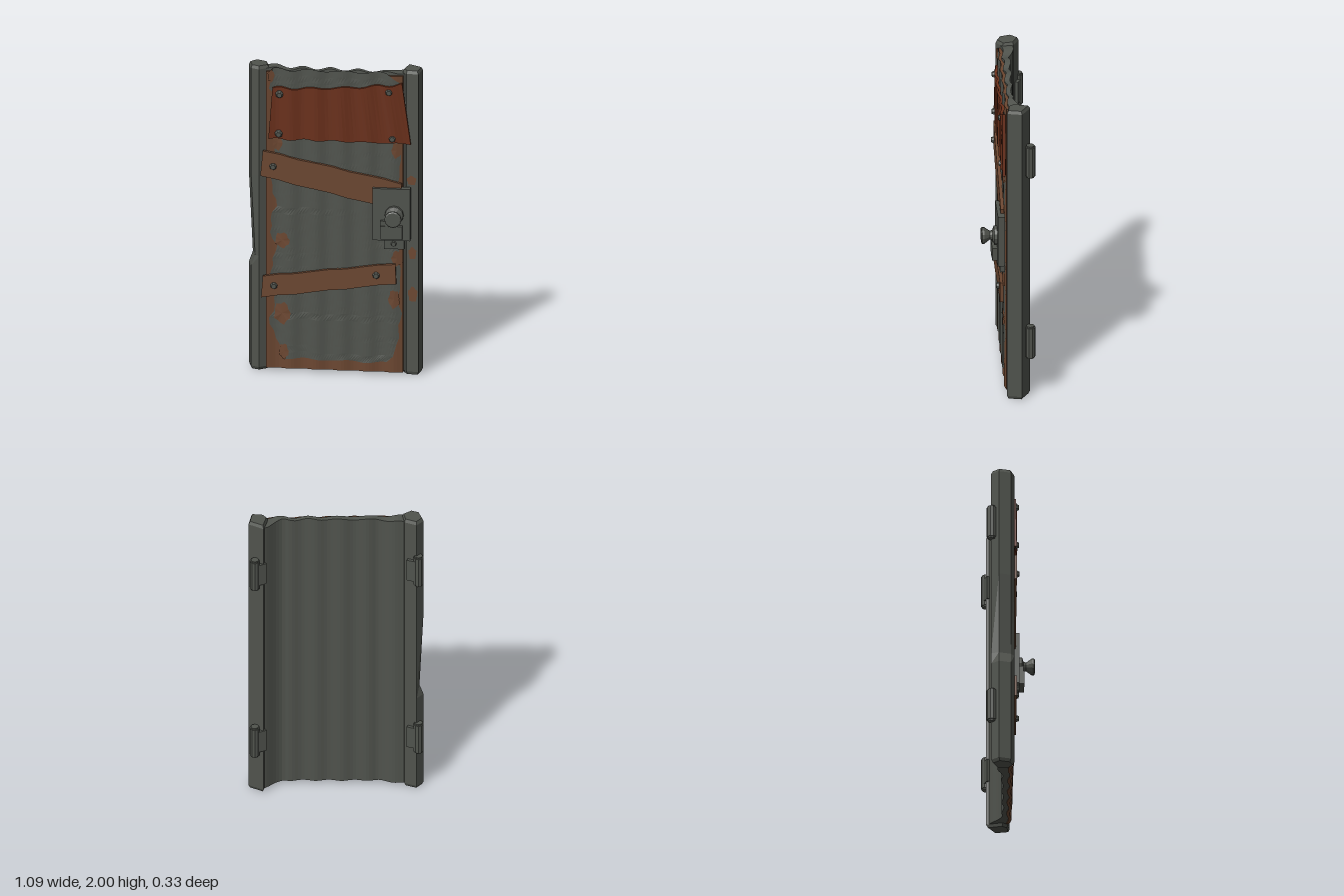
import * as THREE from 'three';

const mat = (name, color) => Object.assign(new THREE.MeshStandardMaterial({ color }), { name });

// Unindexed geometry with one normal per face
function facet(geo) {
  const g = geo.index ? geo.toNonIndexed() : geo;
  g.computeVertexNormals();
  return g;
}

// Closed solid through a series of equal-sized rings
function loft(rings) {
  const n = rings[0].length, last = (rings.length - 1) * n, idx = [];
  for (let r = 0; r < rings.length - 1; r++) {
    for (let i = 0; i < n; i++) {
      const a = r * n + i, b = r * n + (i + 1) % n;
      idx.push(a, b, b + n, a, b + n, a + n);
    }
  }
  for (let i = 1; i < n - 1; i++) {
    idx.push(0, i + 1, i, last, last + i, last + i + 1);
  }
  const g = new THREE.BufferGeometry();
  g.setAttribute('position', new THREE.Float32BufferAttribute(rings.flat(2), 3));
  g.setIndex(idx);
  return facet(g);
}

// Slab running along x; each edge is a function of t (0..1)
function slab(steps, top, bottom, back, front) {
  const rings = [];
  for (let i = 0; i <= steps; i++) {
    const t = i / steps, [tx, ty] = top(t), [bx, by] = bottom(t);
    rings.push([[tx, ty, back(tx)], [tx, ty, front(tx)], [bx, by, front(bx)], [bx, by, back(bx)]]);
  }
  return loft(rings);
}

const lerp = THREE.MathUtils.lerp;
const wave = (x) => 0.007 * Math.sin((x * Math.PI * 2) / 0.16);
const panelFront = (x) => 0.005 + 0.02 * x + wave(x);
const backLine = [[-0.43, -0.1], [-0.34, -0.082], [-0.26, -0.06], [-0.1, -0.055], [0.1, -0.045], [0.32, -0.037], [0.45, -0.115]];
function panelBack(x) {
  let i = 0;
  while (i < backLine.length - 2 && x > backLine[i + 1][0]) i++;
  const [x0, z0] = backLine[i], [x1, z1] = backLine[i + 1];
  return lerp(z0, z1, (x - x0) / (x1 - x0)) + wave(x);
}

export function createModel() {
  const door = new THREE.Group();
  door.name = 'door';
  const steel = mat('dark steel', 0x50534d);
  const rust = mat('rust brown', 0x6b4630);
  const redRust = mat('red rust', 0x692f1a);

  const add = (name, geo, material, x = 0, y = 0, z = 0) => {
    const m = new THREE.Mesh(geo, material);
    m.name = name;
    m.position.set(x, y, z);
    door.add(m);
    return m;
  };

  // Side posts, bevelled at both ends; the right one is dented
  const levels = [[0, 0.85], [0.02, 1], [0.68, 1], [0.75, 1], [1.28, 1], [1.98, 1], [2, 0.85]];
  function post(name, section, dent) {
    const cx = section.reduce((s, p) => s + p[0], 0) / section.length;
    const cz = section.reduce((s, p) => s + p[1], 0) / section.length;
    add(name, loft(levels.map(([y, k]) => section.map(([x, z]) => {
      const push = y === 0.75 && x < -0.51 ? dent : 0;
      return [cx + (x - cx) * k + push, y, cz + (z - cz) * k];
    }))), steel);
  }
  post('leftPost', [[0.541, -0.08], [0.45, -0.137], [0.42, -0.035], [0.445, 0], [0.52, 0.012]], 0);
  post('rightPost', [[-0.416, -0.03], [-0.428, -0.1], [-0.503, -0.137], [-0.547, -0.09], [-0.526, -0.015], [-0.474, 0.008]], 0.025);

  // Corrugated panel with a rusted front layer
  const span = (t) => lerp(-0.43, 0.45, t);
  const panelTop = (t) => [span(t), 1.98 + 0.008 * Math.sin(t * 31)];
  add('corrugatedPanel', slab(44, panelTop, (t) => [span(t), 0.02], panelBack, (x) => Math.max(panelFront(x) - 0.02, panelBack(x) + 0.01)), steel);
  const rustSpan = (t) => lerp(-0.43, 0.425, t);
  add('rustedLayer', slab(44, (t) => [rustSpan(t), 1.965], (t) => [rustSpan(t), 0.015], (x) => panelFront(x) - 0.02, panelFront), rust);

  // Ragged front sheet
  const sheet = new THREE.PlaneGeometry(1, 1, 44, 44);
  const sp = sheet.attributes.position;
  for (let i = 0; i < sp.count; i++) {
    const u = sp.getX(i) + 0.5, v = sp.getY(i) + 0.5, h = v * 2;
    const corner = Math.max(0, 0.16 - h) * 0.5;
    const left = -0.388 + 0.018 * Math.sin(19 * h) + 0.012 * Math.sin(43 * h) + corner;
    const right = 0.403 + 0.01 * Math.sin(23 * h) + 0.008 * Math.sin(39 * h) - corner;
    const x = lerp(left, right, u);
    const top = 1.985 + 0.008 * Math.sin(x * 30) - Math.max(0, x - 0.33) * 0.8;
    const bottom = 0.08 - 0.012 * x + 0.006 * Math.sin(x * 25);
    sp.setXYZ(i, x, lerp(bottom, top, v), panelFront(x) + 0.005);
  }
  add('raggedFrontSheet', facet(sheet), steel);

  // Rust patches following the surface below
  function patch(x, y, rx, ry, surface) {
    const g = new THREE.CircleGeometry(1, 14);
    const p = g.attributes.position;
    for (let i = 0; i < p.count; i++) {
      const k = 1 + 0.14 * Math.sin(i * 2.3 + x * 20);
      const px = x + p.getX(i) * rx * k;
      p.setXYZ(i, px, y + p.getY(i) * ry * k, surface(px));
    }
    add('rustPatch', facet(g), rust);
  }
  const onSheet = (x) => panelFront(x) + 0.009;
  [[-0.36, 1.5, 0.03, 0.05], [-0.33, 0.86, 0.045, 0.05], [-0.33, 0.38, 0.05, 0.07], [-0.32, 0.13, 0.03, 0.05],
    [0.385, 1.48, 0.03, 0.05], [0.39, 0.77, 0.035, 0.05], [0.37, 0.5, 0.035, 0.06], [-0.4, 1.94, 0.02, 0.04]]
    .forEach((a) => patch(...a, onSheet));
  const onPost = (x) => 0.003 + 0.16 * (x - 0.445);
  [[0.478, 1.28, 0.03, 0.03], [0.483, 0.8, 0.025, 0.04], [0.485, 0.53, 0.03, 0.05]]
    .forEach((a) => patch(...a, onPost));

  // Nailed planks
  function plank(name, a, b, c, d, z0, z1) {
    const z = (x) => lerp(z0, z1, (x + 0.46) / 0.87);
    const edge = (p, q) => (t) => [lerp(p[0], q[0], t), lerp(p[1], q[1], t) + 0.004 * Math.sin(t * 17)];
    add(name, slab(8, edge(a, b), edge(d, c), (x) => z(x) - 0.022, z), rust);
  }
  plank('upperPlank', [-0.45, 1.45], [0.42, 1.27], [0.41, 1.09], [-0.465, 1.285], 0.024, 0.045);
  plank('lowerPlank', [-0.45, 0.625], [0.38, 0.74], [0.385, 0.61], [-0.46, 0.485], 0.024, 0.047);

  // Red rusty sheet across the top
  const redFront = (x) => 0.03 + 0.02 * x + wave(x);
  add('rustySheet', slab(40,
    (t) => [lerp(-0.39, 0.42, t), 1.865 + 0.055 * t * t + 0.008 * Math.sin(t * 26)],
    (t) => [lerp(-0.415, 0.475, t), 1.53 + 0.005 * Math.sin(t * 30)],
    (x) => redFront(x) - 0.018, redFront), redRust);

  // Bolts
  [[-0.385, 1.35, 0.026], [-0.38, 0.565, 0.026], [0.26, 0.66, 0.044],
    [-0.345, 1.825, 0.025], [-0.35, 1.565, 0.025], [0.34, 1.865, 0.037], [0.36, 1.56, 0.037]]
    .forEach(([x, y, z]) => {
      const g = facet(new THREE.CylinderGeometry(0.016, 0.027, 0.026, 7));
      add('bolt', g, steel, x, y, z + 0.004).rotation.x = Math.PI / 2;
    });

  // Lock plate, latch and keeper
  add('lockPlate', new THREE.BoxGeometry(0.235, 0.34, 0.045), steel, 0.357, 1.07, 0.043);
  add('latch', new THREE.BoxGeometry(0.135, 0.085, 0.035), steel, 0.36, 0.96, 0.08);
  add('latchPin', new THREE.BoxGeometry(0.05, 0.05, 0.03), steel, 0.315, 1.01, 0.075);
  add('keeper', new THREE.BoxGeometry(0.125, 0.065, 0.03), steel, 0.373, 0.872, 0.035);
  add('keeperBolt', facet(new THREE.CylinderGeometry(0.014, 0.02, 0.02, 7)), steel, 0.37, 0.875, 0.055).rotation.x = Math.PI / 2;

  // Flared knob
  const profile = [[0.06, 0], [0.058, 0.02], [0.032, 0.03], [0.027, 0.045], [0.053, 0.082], [0.053, 0.095], [0.045, 0.1], [0, 0.1]];
  const knob = new THREE.LatheGeometry(profile.map(([r, h]) => new THREE.Vector2(r, h)), 12);
  add('knob', facet(knob), steel, 0.375, 1.07, 0.064).rotation.x = Math.PI / 2;

  // Hinges on the back of both posts
  for (const side of [-1, 1]) {
    for (const y of [0.387, 1.64]) {
      const x = side < 0 ? -0.514 : 0.505;
      add('hingePin', facet(new THREE.CylinderGeometry(0.032, 0.032, 0.2, 10)), steel, x, y, -0.134);
      add('hingeCap', facet(new THREE.CylinderGeometry(0.025, 0.025, 0.22, 10)), steel, x, y, -0.134);
      add('hingeLeaf', new THREE.BoxGeometry(0.07, 0.15, 0.03), steel, x - side * 0.035, y, -0.13).rotation.y = side * 0.4;
    }
  }
  return door;
}
